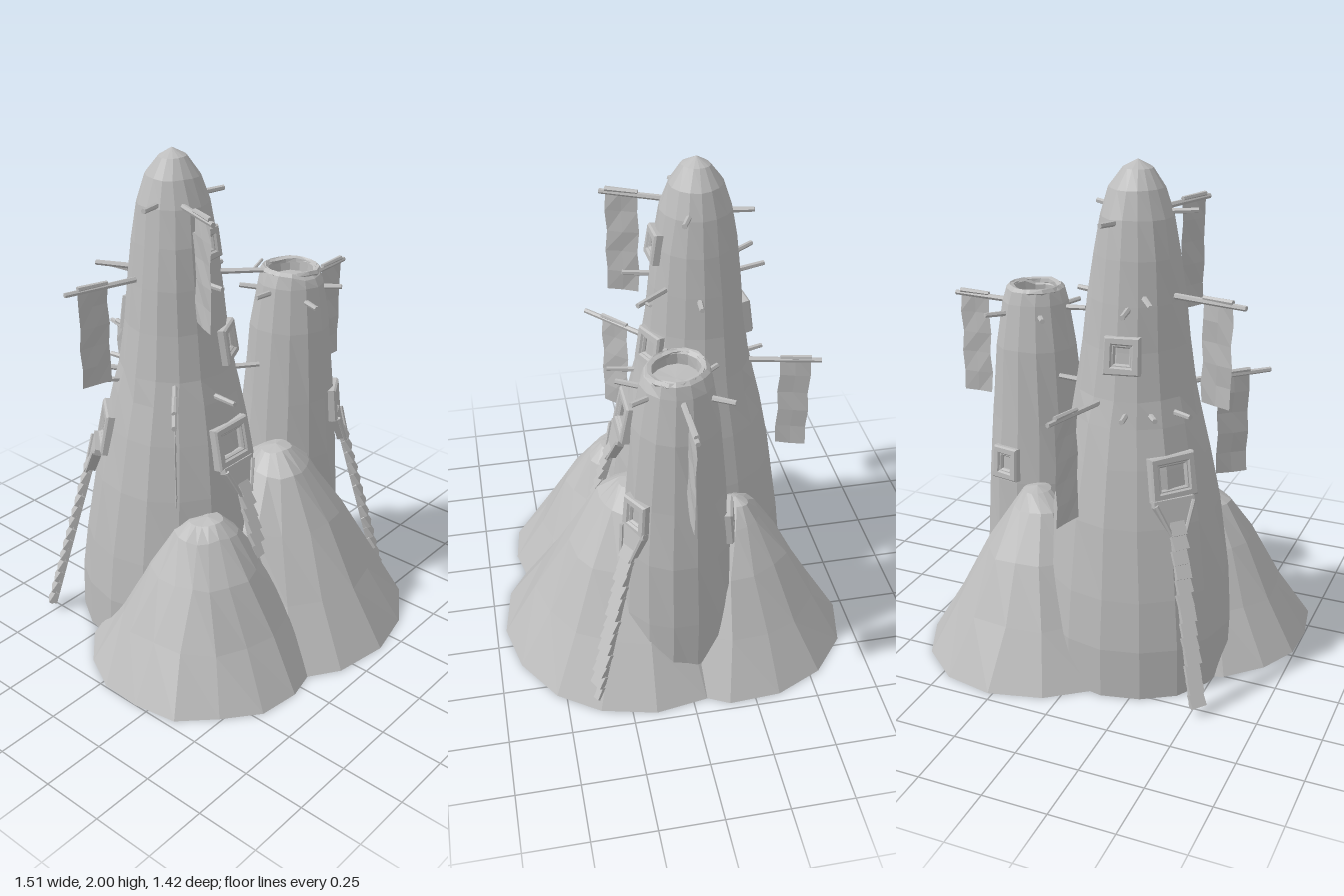
import * as THREE from 'three';

const stone = new THREE.MeshStandardMaterial({ color: 0xbcbcbc, flatShading: true, side: THREE.DoubleSide });
stone.name = 'stone grey';

function add(parent, name, geometry) {
  const m = new THREE.Mesh(geometry, stone);
  m.name = name;
  parent.add(m);
  return m;
}

// smooth deterministic wobble, so shared corners stay together
function wobble(geo, amount, keepGround = true) {
  const p = geo.attributes.position;
  for (let i = 0; i < p.count; i++) {
    const x = p.getX(i), y = p.getY(i), z = p.getZ(i);
    const lift = keepGround && y < 0.01 ? 0 : amount * 0.6 * Math.sin(x * 37 + z * 29);
    p.setXYZ(i, x + amount * Math.sin(y * 31 + z * 23), y + lift, z + amount * Math.sin(x * 27 + y * 33));
  }
  geo.computeVertexNormals();
  return geo;
}

const lathe = (profile, sides) => new THREE.LatheGeometry(profile.map(([r, y]) => new THREE.Vector2(r, y)), sides);

// towers: axis position and outer profile (radius, height)
const tall = {
  x: -0.12, z: -0.15,
  profile: [[0, 0], [0.385, 0], [0.385, 0.2], [0.365, 0.4], [0.325, 0.68], [0.283, 0.9], [0.25, 1.05], [0.228, 1.15],
    [0.2, 1.33], [0.182, 1.5], [0.162, 1.66], [0.138, 1.8], [0.104, 1.9], [0.055, 1.97], [0, 2]],
};
const short = {
  x: 0.387, z: 0.02,
  profile: [[0, 0], [0.225, 0], [0.225, 0.35], [0.215, 0.65], [0.192, 0.9], [0.166, 1.2], [0.135, 1.38], [0.12, 1.43],
    [0.105, 1.443], [0.092, 1.43], [0.09, 1.385], [0, 1.385]],
};

function radiusAt(tower, y) {
  const p = tower.profile;
  for (let i = 1; i < p.length - 1; i++) {
    const [r0, y0] = p[i], [r1, y1] = p[i + 1];
    if (y >= y0 && y <= y1 && y1 > y0) return r0 + (r1 - r0) * (y - y0) / (y1 - y0);
  }
  return 0;
}

const rad = (deg) => deg * Math.PI / 180;

// point around a tower; 0 degrees is the front, 90 its left
const around = (tower, deg, r, y) =>
  new THREE.Vector3(tower.x + r * Math.sin(rad(deg)), y, tower.z + r * Math.cos(rad(deg)));

function rod(parent, name, a, b, radius) {
  const m = add(parent, name, new THREE.CylinderGeometry(radius * 0.85, radius, a.distanceTo(b), 6));
  m.position.copy(a).add(b).multiplyScalar(0.5);
  m.quaternion.setFromUnitVectors(new THREE.Vector3(0, 1, 0), b.clone().sub(a).normalize());
}

// frame with chamfered edges around an opening
function frameGeometry(w, h, border, depth) {
  const s = new THREE.Shape();
  s.moveTo(-w / 2, -h / 2).lineTo(w / 2, -h / 2 + 0.004).lineTo(w / 2 - 0.004, h / 2).lineTo(-w / 2 + 0.003, h / 2 - 0.004);
  const iw = w / 2 - border, ih = h / 2 - border;
  const hole = new THREE.Path();
  hole.moveTo(-iw, -ih).lineTo(-iw, ih).lineTo(iw, ih).lineTo(iw, -ih);
  s.holes.push(hole);
  return new THREE.ExtrudeGeometry(s, { depth, bevelEnabled: true, bevelSize: 0.006, bevelThickness: 0.008, bevelSegments: 1 });
}

function windowAt(parent, tower, deg, y, w, h) {
  const g = new THREE.Group();
  g.name = 'window';
  g.position.copy(around(tower, deg, radiusAt(tower, y), y));
  const slope = (radiusAt(tower, y - 0.08) - radiusAt(tower, y + 0.08)) / 0.16;
  g.rotation.set(-Math.atan(slope), rad(deg), 0, 'YXZ');
  add(g, 'outerFrame', frameGeometry(w, h, 0.022, 0.035)).position.z = -0.025;
  add(g, 'innerFrame', frameGeometry(w - 0.046, h - 0.046, 0.009, 0.022)).position.z = -0.02;
  parent.add(g);
}

// bracket below a window and the stepped ladder hanging from it
function ladder(parent, tower, deg, w, [r0, y0], [r1, y1]) {
  const g = new THREE.Group();
  g.name = 'ladder';
  const length = Math.hypot(r1 - r0, y1 - y0);
  g.position.copy(around(tower, deg, r0, y0));
  g.rotation.set(-Math.atan2(r1 - r0, y0 - y1), rad(deg), 0, 'YXZ');
  const s = new THREE.Shape();
  s.moveTo(-w / 2, 0.085).lineTo(-w / 2, 0.06).lineTo(-0.03, -0.04).lineTo(0.03, -0.04).lineTo(w / 2, 0.06).lineTo(w / 2, 0.085);
  add(g, 'bracket', new THREE.ExtrudeGeometry(s, { depth: 0.03, bevelEnabled: false })).position.z = -0.025;
  for (const side of [-1, 1]) {
    rod(g, 'brace', new THREE.Vector3(side * w * 0.47, 0.07, 0.008), new THREE.Vector3(side * 0.028, -0.05, 0.008), 0.009);
  }
  add(g, 'plank', new THREE.BoxGeometry(0.05, length, 0.014)).position.set(0, -length / 2, -0.008);
  const steps = Math.round(length / 0.055);
  for (let i = 0; i < steps; i++) {
    const step = add(g, 'step', new THREE.BoxGeometry(0.06, length / steps, 0.018));
    step.position.set(0.003 * Math.sin(i * 2.3), -(i + 0.5) * length / steps, 0.004);
    step.rotation.set(-0.3, 0, 0.06 * Math.sin(i * 1.7));
  }
  parent.add(g);
}

// pole from tip to root with a cloth between two fractions of its length
function banner(parent, y, [tx, tz], [rx, rz], from, to, drop) {
  const g = new THREE.Group();
  g.name = 'banner';
  const tip = new THREE.Vector3(tx, y + 0.005, tz), root = new THREE.Vector3(rx, y, rz);
  rod(g, 'pole', root, tip, 0.012);
  const a = tip.clone().lerp(root, from), b = tip.clone().lerp(root, to);
  const up = new THREE.Vector3(0, 0.012, 0);
  rod(g, 'clothRoll', a.clone().add(up), b.clone().add(up), 0.011);
  const w = a.distanceTo(b);
  const cloth = add(g, 'cloth', wobble(new THREE.PlaneGeometry(w, drop, 2, 5), 0.004, false));
  cloth.position.copy(a).add(b).multiplyScalar(0.5);
  cloth.position.y -= drop / 2 - 0.01;
  cloth.rotation.y = -Math.atan2(b.z - a.z, b.x - a.x);
  parent.add(g);
}

export function createModel() {
  const model = new THREE.Group();
  model.name = 'twinSpires';

  // rocky hills around the foot: x, z, sides, profile
  const hills = [
    [-0.29, 0.15, 17, [[0, 0], [0.47, 0], [0.34, 0.21], [0.22, 0.42], [0.12, 0.565], [0.06, 0.61], [0, 0.622]]],
    [0.155, 0.15, 16, [[0, 0], [0.56, 0], [0.41, 0.24], [0.27, 0.48], [0.14, 0.68], [0.06, 0.75], [0, 0.765]]],
    [0.26, -0.245, 14, [[0, 0], [0.468, 0], [0.34, 0.22], [0.22, 0.44], [0.11, 0.61], [0.05, 0.675], [0, 0.69]]],
  ];
  for (const [x, z, sides, profile] of hills) {
    add(model, 'hill', wobble(lathe(profile, sides), 0.009)).position.set(x, 0, z);
  }

  // tall spire leans slightly toward its foot
  const spire = lathe(tall.profile, 16);
  const p = spire.attributes.position;
  for (let i = 0; i < p.count; i++) {
    const k = 0.02 * Math.max(0, 1 - p.getY(i));
    p.setX(i, p.getX(i) - k);
    p.setZ(i, p.getZ(i) - k);
  }
  add(model, 'tallSpire', wobble(spire, 0.003)).position.set(tall.x, 0, tall.z);

  // short spire with a hollow, broken top
  const stump = lathe(short.profile, 14);
  const q = stump.attributes.position;
  for (let i = 0; i < q.count; i++) {
    if (q.getY(i) > 1.41 && q.getZ(i) > 0.06 && Math.abs(q.getX(i)) < 0.07) q.setY(i, q.getY(i) - 0.018);
  }
  add(model, 'shortSpire', wobble(stump, 0.003)).position.set(short.x, 0, short.z);
  const rim = new THREE.TorusGeometry(0.104, 0.014, 5, 14).rotateX(Math.PI / 2);
  add(model, 'brokenRim', wobble(rim, 0.006, false)).position.set(short.x, 1.428, short.z);

  // windows: tower, angle, height, size
  const windows = [
    [tall, 0, 0.875, 0.18, 0.16], [tall, 230, 0.87, 0.18, 0.16],
    [tall, 25, 1.25, 0.13, 0.135], [tall, 3, 1.66, 0.115, 0.115], [tall, 187, 1.32, 0.13, 0.135],
    [short, 30, 0.85, 0.115, 0.135], [short, 166, 0.73, 0.115, 0.13],
  ];
  for (const w of windows) windowAt(model, ...w);

  // ladders under the lower windows
  ladder(model, tall, 0, 0.165, [0.345, 0.72], [0.45, 0.36]);
  ladder(model, tall, 227, 0.165, [0.355, 0.72], [0.55, 0.03]);
  ladder(model, short, 31, 0.12, [0.235, 0.72], [0.425, 0.03]);

  // banners
  banner(model, 1.52, [-0.58, -0.265], [-0.27, -0.19], 0.17, 0.56, 0.4);
  banner(model, 1.81, [-0.28, 0.19], [-0.18, -0.05], 0.09, 0.58, 0.43);
  banner(model, 1.13, [-0.54, 0.23], [-0.29, 0.0], 0.27, 0.66, 0.43);
  banner(model, 1.13, [0.015, -0.65], [-0.06, -0.34], 0.13, 0.52, 0.43);
  banner(model, 1.36, [0.755, 0.02], [0.5, 0.02], 0.09, 0.6, 0.43);

  // short pegs: tower, angle, height, reach
  const pegs = [
    [tall, 67, 1.815, 0.21], [tall, -75, 1.815, 0.225], [tall, 165, 1.79, 0.22],
    [tall, 40, 1.52, 0.34], [tall, -8, 1.52, 0.28], [tall, 85, 1.49, 0.25], [tall, 192, 1.49, 0.3], [tall, 211, 1.53, 0.31],
    [tall, 92, 1.13, 0.32], [tall, 45, 1.11, 0.33], [tall, -8, 1.075, 0.35], [tall, 192, 1.1, 0.31], [tall, 240, 1.1, 0.32],
    [tall, 215, 1.1, 0.3],
    [short, -25, 1.33, 0.23], [short, -90, 1.36, 0.22], [short, -147, 1.34, 0.21], [short, 145, 1.34, 0.23], [short, 29, 1.36, 0.21],
  ];
  for (const [tower, deg, y, reach] of pegs) {
    rod(model, 'peg', around(tower, deg, radiusAt(tower, y) - 0.04, y - 0.004), around(tower, deg, reach, y + 0.004), 0.012);
  }
  // forked twig on one peg
  rod(model, 'twig', around(tall, 42, 0.3, 1.52), around(tall, 50, 0.34, 1.545), 0.007);

  return model;
}
